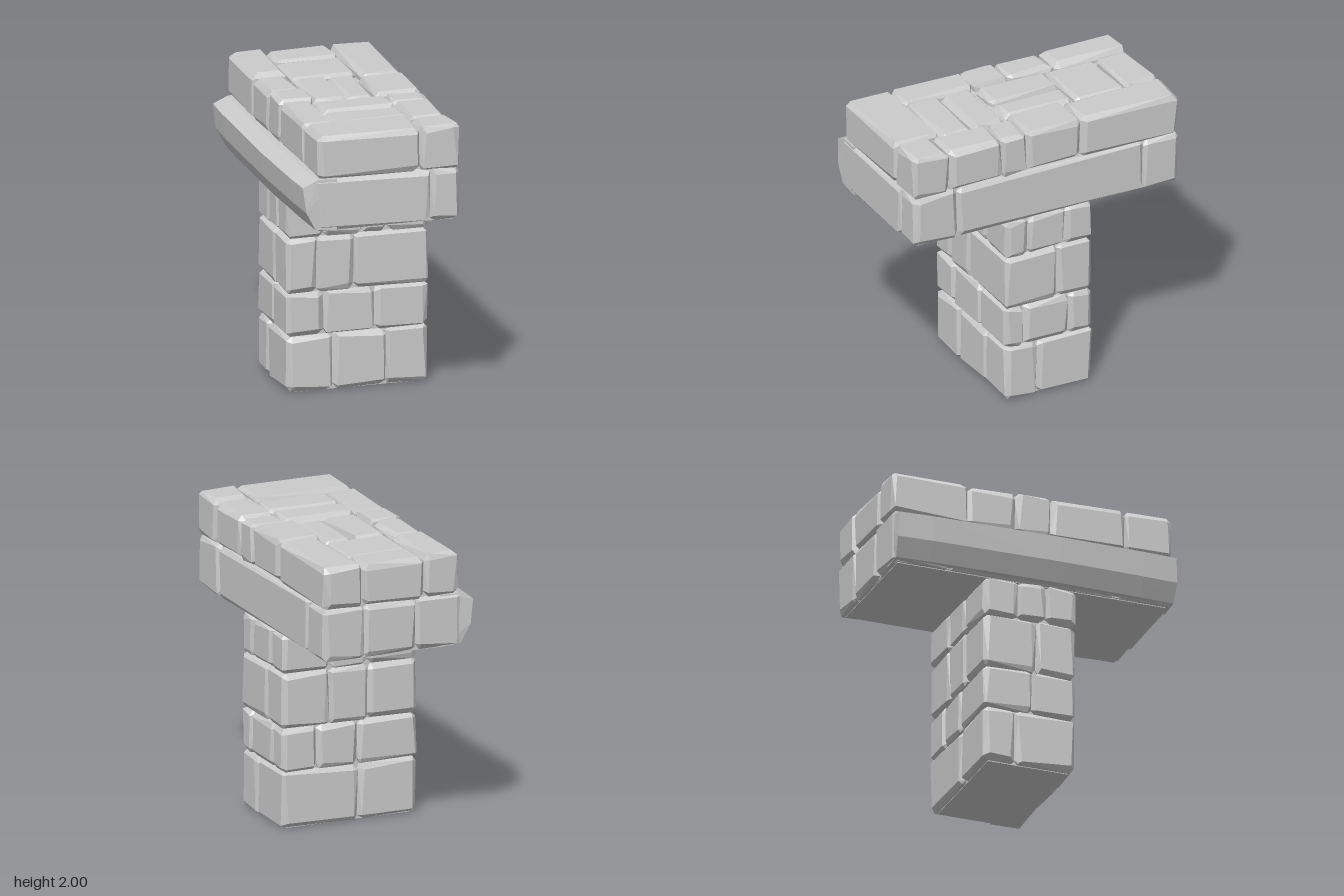
import * as THREE from 'three';
import { ConvexGeometry } from 'three/addons/geometries/ConvexGeometry.js';

const material = new THREE.MeshStandardMaterial({ color: 0xcccccc, flatShading: true });

// Small seeded generator for the irregular chipped edges
let seed = 7;
function rand(min, max) {
  seed = (seed * 16807) % 2147483647;
  return min + (max - min) * (seed / 2147483647);
}

function add(group, name, geometry) {
  const mesh = new THREE.Mesh(geometry, material);
  mesh.name = name;
  group.add(mesh);
  return mesh;
}

// Hewn stone: a box whose edges are unevenly chamfered, three points per corner
function stone(group, name, min, max, chip = 0.045) {
  const points = [];
  for (let corner = 0; corner < 8; corner++) {
    for (let face = 0; face < 3; face++) {
      const p = [0, 1, 2].map((axis) => {
        const high = (corner >> axis) & 1;
        const inset = axis === face ? 0 : rand(0.014, chip);
        return high ? max[axis] - inset : min[axis] + inset;
      });
      points.push(new THREE.Vector3(...p));
    }
  }
  return add(group, name, new ConvexGeometry(points));
}

// Plain block filling the joints behind the stones
function core(group, name, min, max) {
  const size = max.map((v, i) => v - min[i]);
  const mesh = add(group, name, new THREE.BoxGeometry(...size));
  mesh.position.set(...min.map((v, i) => v + size[i] / 2));
}

// One ring of stones; the joint lists run along x (front, back) or z (right, left)
function course(name, bounds, { y, front, back, plusX, minusX }) {
  const [x0, x1, z0, z1] = bounds;
  const group = new THREE.Group();
  group.name = name;
  for (const [label, joints, isFront] of [['frontStone', front, true], ['backStone', back, false]]) {
    const xs = [x0, ...joints, x1];
    const pick = isFront ? Math.max : Math.min;
    for (let i = 0; i < xs.length - 1; i++) {
      let inner = isFront ? z1 - 0.2 : z0 + 0.2;
      if (i === 0) inner = pick(...minusX);
      if (i === xs.length - 2) inner = pick(...plusX);
      stone(group, label,
        [xs[i], y[0], isFront ? inner : z0],
        [xs[i + 1], y[1], isFront ? z1 : inner]);
    }
  }
  // Stones between the corner stones on either side
  if (plusX.length > 1) {
    stone(group, 'leftSideStone', [x1 - 0.25, y[0], Math.min(...plusX)], [x1, y[1], Math.max(...plusX)]);
  }
  if (minusX.length > 1) {
    stone(group, 'rightSideStone', [x0, y[0], Math.min(...minusX)], [x0 + 0.25, y[1], Math.max(...minusX)]);
  }
  const d = 0.042;
  core(group, 'mortar', [x0 + d, y[0] - 0.005, z0 + d], [x1 - d, y[1] + 0.005, z1 - d]);
  return group;
}

export function createModel() {
  seed = 7;
  const model = new THREE.Group();
  model.name = 'stonePier';

  // Pillar courses from the ground up
  const pillarBounds = [-0.43, 0.555, -0.345, 0.31];
  const pillarCourses = [
    { y: [0.01, 0.395], front: [-0.11, 0.26], back: [0.0], plusX: [0.07], minusX: [-0.12] },
    { y: [0.395, 0.695], front: [-0.17, 0.18], back: [0.0, 0.3], plusX: [0.17, -0.17], minusX: [0.0] },
    { y: [0.695, 1.075], front: [-0.22, 0.04], back: [-0.07, 0.21], plusX: [-0.08], minusX: [0.03] },
    { y: [1.075, 1.345], front: [-0.17, 0.1, 0.27], back: [-0.07, 0.21], plusX: [0.14, -0.14], minusX: [0.1, -0.1] },
  ];
  const pillar = new THREE.Group();
  pillar.name = 'pillar';
  pillarCourses.forEach((c, i) => pillar.add(course('pillarCourse' + (i + 1), pillarBounds, c)));
  model.add(pillar);

  // Lower course of the overhanging top
  const slab = course('slabCourse', [-0.45, 0.558, -1, 1], {
    y: [1.34, 1.7], front: [0.35], back: [-0.12, 0.26], plusX: [0.67, -0.73], minusX: [0.6, -0.6],
  });
  core(slab, 'underside', [-0.42, 1.342, -0.965], [0.52, 1.6, 0.965]);
  model.add(slab);

  // Bulging ledge along the slab's right side, hulled over cross-sections
  const profile = [[-0.3, 1.7], [-0.43, 1.7], [-0.535, 1.65], [-0.515, 1.48], [-0.45, 1.355], [-0.3, 1.34]];
  const sections = [[-0.99, 0], [-0.75, 0.012], [-0.2, 0.018], [0.15, 0.024], [0.75, 0.012], [0.99, 0]];
  const ledgePoints = [];
  for (const [z, bulge] of sections) {
    for (const [x, y] of profile) {
      ledgePoints.push(new THREE.Vector3(x < -0.4 ? x - bulge : x, y, z + rand(-0.008, 0.008)));
    }
  }
  add(slab, 'sideLedge', new ConvexGeometry(ledgePoints));

  // Paved top course: x0, x1, z0, z1 and top height of every stone
  const paving = [
    [-0.43, -0.18, -1, -0.46, 2],
    [-0.43, -0.2, -0.46, -0.115, 1.985],
    [-0.43, -0.19, -0.115, 0.135, 1.995],
    [-0.43, -0.21, 0.135, 0.665, 1.985],
    [-0.18, 0.27, -1, -0.75, 1.985],
    [0.27, 0.555, -1, -0.26, 1.99],
    [0.24, 0.555, -0.26, 0.14, 1.99],
    [0.3, 0.555, 0.14, 0.33, 1.98],
    [0.29, 0.555, 0.33, 0.73, 1.99],
    [0.28, 0.555, 0.73, 1, 2],
    [-0.43, 0.28, 0.665, 1, 1.995],
    [-0.18, 0.28, -0.75, -0.375, 1.975],
    [-0.19, 0.04, -0.375, 0.145, 1.98],
    [0.04, 0.25, -0.375, 0.145, 1.97],
    [-0.21, 0.3, 0.16, 0.41, 1.985],
    [-0.23, 0.3, 0.41, 0.66, 1.98],
  ];
  const top = new THREE.Group();
  top.name = 'pavedTop';
  for (const [x0, x1, z0, z1, height] of paving) {
    stone(top, 'topStone', [x0, 1.695, z0], [x1, height, z1], 0.05);
  }
  core(top, 'mortar', [-0.385, 1.68, -0.955], [0.51, 1.935, 0.955]);
  model.add(top);

  return model;
}
